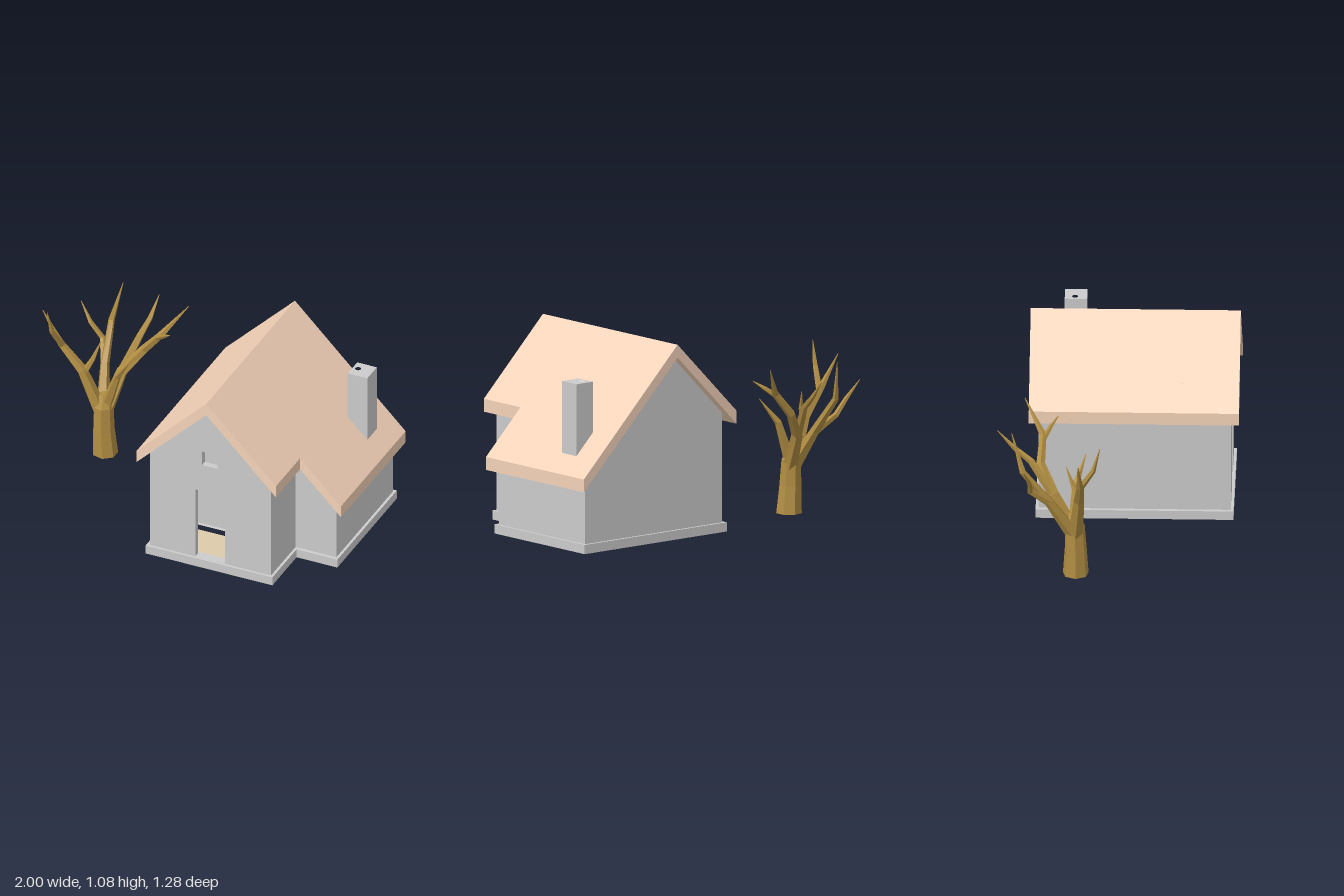
import * as THREE from 'three';

const grey = new THREE.MeshStandardMaterial({ color: 0xcccccc, flatShading: true });
const tile = new THREE.MeshStandardMaterial({ color: 0xf5d3b9, flatShading: true });
const sand = new THREE.MeshStandardMaterial({ color: 0xdccbaa, flatShading: true });
const bark = new THREE.MeshStandardMaterial({ color: 0xb08d42, flatShading: true });

const RIDGE_X = 0.35, RIDGE_Y = 1.075, ROOF_T = 0.07, T = 0.035;
const under = (x) => RIDGE_Y - ROOF_T - Math.abs(x - RIDGE_X); // underside of the roof

const poly = (pts) => pts.map(([x, y]) => new THREE.Vector2(x, y));
const rect = (x0, x1, y0, y1) => [[x0, y0], [x1, y0], [x1, y1], [x0, y1]];

function extruded(name, pts, depth, mat, holes = []) {
  const shape = new THREE.Shape(poly(pts));
  for (const h of holes) shape.holes.push(new THREE.Path(poly(h)));
  const geo = new THREE.ExtrudeGeometry(shape, { depth, bevelEnabled: false });
  const mesh = new THREE.Mesh(geo, mat);
  mesh.name = name;
  return mesh;
}

// upright profile in x,y swept from z0 to z1
function slab(name, pts, z0, z1, mat, holes) {
  const mesh = extruded(name, pts, z1 - z0, mat, holes);
  mesh.geometry.translate(0, 0, z0);
  return mesh;
}

// ground plan in x,z raised from y0 to y1
function plan(name, pts, y0, y1, mat, holes = []) {
  const flip = (p) => p.map(([x, z]) => [x, -z]);
  const mesh = extruded(name, flip(pts), y1 - y0, mat, holes.map(flip));
  mesh.geometry.rotateX(-Math.PI / 2).translate(0, y0, 0);
  return mesh;
}

// gable wall profile following the roof slope
const gable = (x0, x1) => [[x0, 0.06], [x1, 0.06], [x1, under(x1)], [RIDGE_X, under(RIDGE_X)], [x0, under(x0)]];
// side wall profile with sloping top
const side = (x0, x1) => [[x0, 0.06], [x1, 0.06], [x1, under(x1)], [x0, under(x0)]];

function house() {
  const g = new THREE.Group();
  g.name = 'house';

  // walls
  g.add(
    slab('frontWall', gable(0, 0.71), 0.59 - T, 0.59, grey,
      [rect(0.265, 0.44, 0.0605, 0.485), rect(0.305, 0.395, 0.65, 0.735)]),
    slab('middleWall', gable(0, 0.95), 0.28 - T, 0.28, grey),
    slab('backWall', gable(0, 0.95), -0.435, -0.435 + T, grey),
    slab('leftWallFront', side(0, T), 0.28, 0.59 - T, grey),
    slab('leftWallBack', side(0, T), -0.435 + T, 0.28 - T, grey),
    slab('rightWallFront', side(0.71 - T, 0.71), 0.28, 0.59 - T, grey),
    slab('rightWallBack', side(0.95 - T, 0.95), -0.435 + T, 0.28 - T, grey),
  );

  // plinth with an opening under each room, and the floor
  const outline = [[-0.02, -0.45], [0.965, -0.45], [0.965, 0.3], [0.725, 0.3], [0.725, 0.605], [-0.02, 0.605]];
  g.add(plan('plinth', outline, 0.01, 0.06, grey,
    [rect(0.05, 0.9, -0.385, 0.23), rect(0.05, 0.66, 0.3, 0.54)]));
  g.add(plan('backFloor', rect(0.05, 0.9, -0.385, 0.23), 0.012, 0.03, sand));
  g.add(plan('frontFloor', rect(0.05, 0.66, 0.3, 0.54), 0.012, 0.03, sand));
  for (const z of [0.45, -0.24]) {
    const bump = new THREE.Mesh(new THREE.SphereGeometry(0.06, 8, 4), sand);
    bump.name = 'groundBump';
    bump.scale.y = 0.16;
    bump.position.set(0.5, 0.0125, z);
    g.add(bump);
  }

  // roof: the back stretch reaches further down on one side
  const chevron = (x1) => {
    const top = (x) => under(x) + ROOF_T;
    return [[-0.06, under(-0.06)], [RIDGE_X, under(RIDGE_X)], [x1, under(x1)],
      [x1, top(x1)], [RIDGE_X, RIDGE_Y], [-0.06, top(-0.06)]];
  };
  g.add(slab('roofFront', chevron(0.76), 0.33, 0.635, tile));
  g.add(slab('roofBack', chevron(1), -0.485, 0.33, tile));

  // chimney with a small flue
  const flue = Array.from({ length: 12 }, (_, i) => {
    const a = (i / 12) * Math.PI * 2;
    return [0.825 + 0.016 * Math.cos(a), -0.26 + 0.016 * Math.sin(a)];
  });
  g.add(plan('chimney', rect(0.795, 0.91, -0.315, -0.195), 0.5, 0.905, grey, [flue]));
  return g;
}

// tapering limb through points [x, y, z, radius]
function limb(name, pts, sides = 5) {
  const P = pts.map((p) => new THREE.Vector3(p[0], p[1], p[2]));
  const pos = [], idx = [];
  P.forEach((p, i) => {
    const dir = P[Math.min(i + 1, P.length - 1)].clone().sub(P[Math.max(i - 1, 0)]).normalize();
    if (name === 'trunk') dir.set(0, 1, 0);
    const u = new THREE.Vector3(0, 0, 1).cross(dir).normalize();
    const v = dir.clone().cross(u);
    for (let k = 0; k < sides; k++) {
      const a = (k / sides) * Math.PI * 2;
      const q = p.clone().addScaledVector(u, pts[i][3] * Math.cos(a)).addScaledVector(v, pts[i][3] * Math.sin(a));
      pos.push(q.x, q.y, q.z);
      if (i === 0) continue;
      const k2 = (k + 1) % sides, lo = (i - 1) * sides, hi = i * sides;
      idx.push(lo + k, lo + k2, hi + k2, lo + k, hi + k2, hi + k);
    }
  });
  // end caps
  const last = (P.length - 1) * sides;
  for (let k = 1; k < sides - 1; k++) idx.push(0, k + 1, k, last, last + k, last + k + 1);
  const geo = new THREE.BufferGeometry();
  geo.setAttribute('position', new THREE.Float32BufferAttribute(pos, 3));
  geo.setIndex(idx);
  geo.computeVertexNormals();
  const mesh = new THREE.Mesh(geo, bark);
  mesh.name = name;
  return mesh;
}

function tree() {
  const g = new THREE.Group();
  g.name = 'tree';
  g.add(limb('trunk', [[-0.643, 0, -0.22, 0.07], [-0.652, 0.15, -0.22, 0.06], [-0.655, 0.29, -0.225, 0.054], [-0.655, 0.36, -0.235, 0.025]], 7));
  // main boughs
  g.add(limb('leftBough', [[-0.67, 0.25, -0.22, 0.042], [-0.77, 0.5, -0.2, 0.03], [-0.89, 0.64, -0.19, 0.02], [-1, 0.815, -0.2, 0.002]]));
  g.add(limb('backBough', [[-0.665, 0.26, -0.24, 0.04], [-0.71, 0.46, -0.36, 0.026], [-0.735, 0.65, -0.5, 0.018], [-0.695, 0.86, -0.56, 0.002]]));
  g.add(limb('rightBough', [[-0.645, 0.25, -0.23, 0.042], [-0.6, 0.45, -0.34, 0.032], [-0.5, 0.58, -0.41, 0.025], [-0.4, 0.7, -0.4, 0.02], [-0.28, 0.86, -0.5, 0.002]]));
  // smaller branches
  const twigs = [
    [[-0.88, 0.63, -0.19, 0.018], [-0.91, 0.75, -0.12, 0.014], [-0.92, 0.885, -0.085, 0.002]],
    [[-0.71, 0.45, -0.355, 0.022], [-0.77, 0.55, -0.46, 0.017], [-0.84, 0.63, -0.46, 0.013], [-0.91, 0.73, -0.49, 0.002]],
    [[-0.605, 0.44, -0.335, 0.026], [-0.55, 0.62, -0.46, 0.019], [-0.53, 0.69, -0.55, 0.014], [-0.52, 0.785, -0.64, 0.002]],
    [[-0.42, 0.68, -0.4, 0.017], [-0.36, 0.73, -0.36, 0.012], [-0.31, 0.77, -0.32, 0.002]],
    [[-0.645, 0.28, -0.23, 0.034], [-0.57, 0.5, -0.22, 0.02], [-0.48, 0.63, -0.17, 0.002]],
    [[-0.76, 0.48, -0.2, 0.02], [-0.72, 0.56, -0.23, 0.014], [-0.69, 0.66, -0.27, 0.002]],
  ];
  for (const t of twigs) g.add(limb('branch', t));
  return g;
}

export function createModel() {
  const model = new THREE.Group();
  model.name = 'cottageWithTree';
  model.add(house(), tree());
  return model;
}
